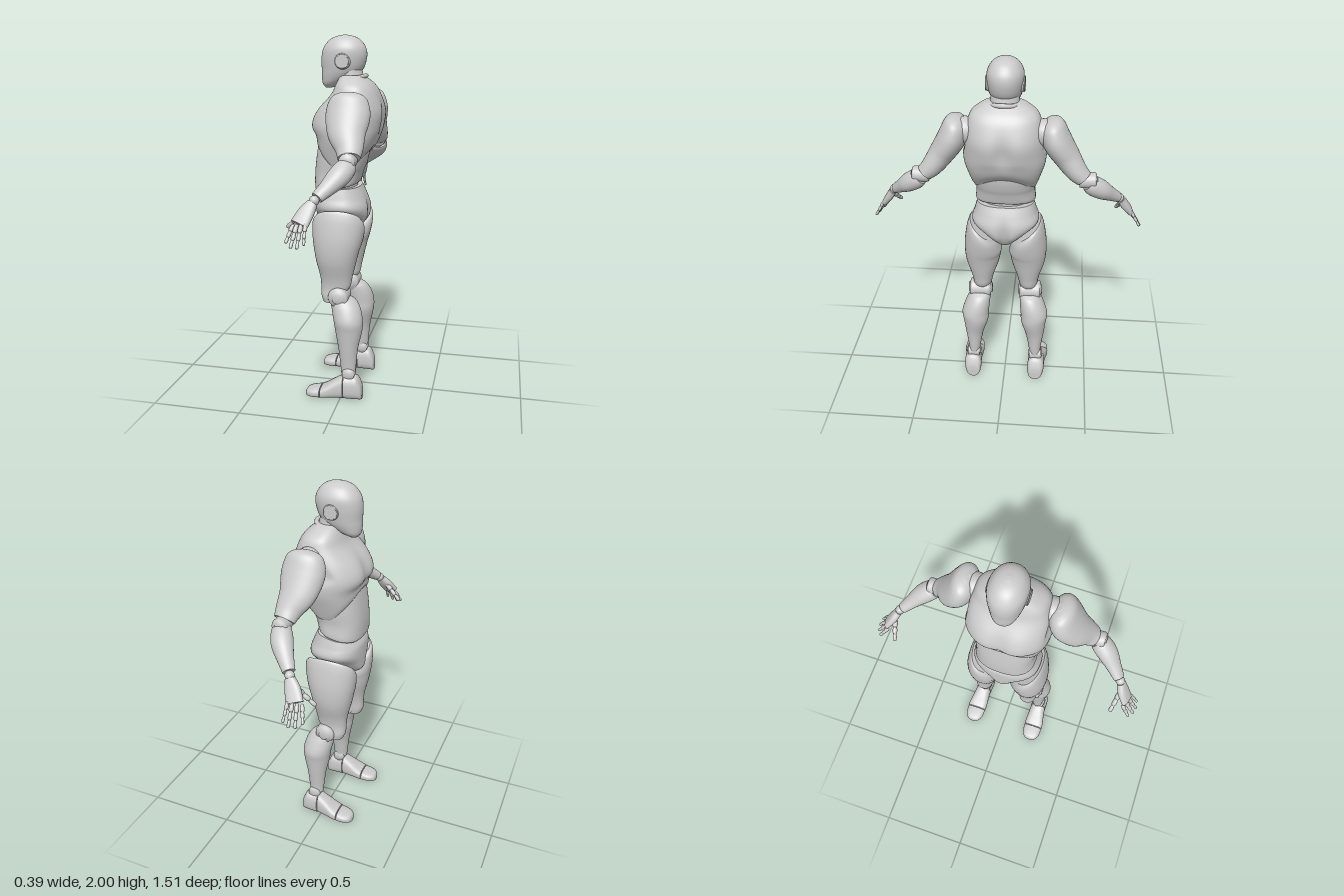
import * as THREE from 'three';

const material = new THREE.MeshStandardMaterial({ color: 0xcccccc, roughness: 0.6 });
const X = new THREE.Vector3(1, 0, 0), Y = new THREE.Vector3(0, 1, 0);
const clamp = THREE.MathUtils.clamp;

// Smooth skin over elliptical sections [x, y, z, a, b], a along ref, b across it.
function loft(name, rows, { axis = null, ref = X, e = 2, n = 40, mod = null } = {}) {
  const curve = (f) => new THREE.CatmullRomCurve3(rows.map(f), false, 'catmullrom', 0.5);
  const path = curve((r) => new THREE.Vector3(r[0], r[1], r[2]));
  const size = curve((r) => new THREE.Vector3(r[3], r[4], 0));
  const steps = (rows.length - 1) * 6, pos = [], idx = [];
  const pow = (v) => Math.sign(v) * Math.abs(v) ** (2 / e);
  for (let i = 0; i <= steps; i++) {
    const c = path.getPoint(i / steps), s = size.getPoint(i / steps);
    const t = axis || path.getTangent(i / steps);
    const u = ref.clone().addScaledVector(t, -ref.dot(t)).normalize();
    const w = new THREE.Vector3().crossVectors(t, u);
    for (let j = 0; j < n; j++) {
      const q = (j / n) * Math.PI * 2;
      const p = c.clone().addScaledVector(u, s.x * pow(Math.cos(q))).addScaledVector(w, s.y * pow(Math.sin(q)));
      if (mod) mod(p);
      pos.push(p.x, p.y, p.z);
      if (i < steps) {
        const a = i * n + j, b = i * n + ((j + 1) % n);
        idx.push(a, b, a + n, b, b + n, a + n);
      }
    }
  }
  // end caps with their own vertices, so the rims stay crisp
  for (const [ring, flip] of [[0, true], [steps, false]]) {
    const base = pos.length / 3, mid = [0, 0, 0];
    for (let j = 0; j < n; j++) for (let k = 0; k < 3; k++) {
      const v = pos[(ring * n + j) * 3 + k];
      pos.push(v);
      mid[k] += v / n;
    }
    pos.push(...mid);
    for (let j = 0; j < n; j++) {
      const a = base + j, b = base + ((j + 1) % n);
      idx.push(...(flip ? [b, a, base + n] : [a, b, base + n]));
    }
  }
  const g = new THREE.BufferGeometry();
  g.setAttribute('position', new THREE.Float32BufferAttribute(pos, 3));
  g.setIndex(idx);
  g.computeVertexNormals();
  return mesh(name, g);
}

function mesh(name, geometry, x = 0, y = 0, z = 0) {
  const m = new THREE.Mesh(geometry, material);
  m.name = name;
  m.position.set(x, y, z);
  return m;
}

// Upright part from horizontal slices [y, x0, x1, z0, z1]; z0 alone means a centred half width.
function column(name, rows, opts = {}) {
  return loft(name, rows.map(([y, x0, x1, z0, z1]) => z1 === undefined
    ? [(x0 + x1) / 2, y, 0, (x1 - x0) / 2, z0]
    : [(x0 + x1) / 2, y, (z0 + z1) / 2, (x1 - x0) / 2, Math.abs(z1 - z0) / 2]), { axis: Y, ...opts });
}

const ball = (name, r, x, y, z) => mesh(name, new THREE.SphereGeometry(r, 24, 16), x, y, z);

// Hinge drum lying along z, with a raised hub on both faces
function hinge(name, r, half, x, y, z) {
  const pts = [[0, -half], [r * 0.5, -half], [r * 0.55, -half * 0.88], [r * 0.9, -half * 0.85], [r, -half * 0.65]];
  const profile = [...pts, ...pts.map(([a, b]) => [a, -b]).reverse()].map(([a, b]) => new THREE.Vector2(a, b));
  const m = mesh(name, new THREE.LatheGeometry(profile, 32), x, y, z);
  m.rotation.x = Math.PI / 2;
  return m;
}

function head() {
  const g = new THREE.Group();
  g.name = 'head';
  g.add(column('skull', [
    [1.725, -0.125, -0.085, 0.025], [1.745, -0.14, -0.04, 0.052], [1.78, -0.145, 0.03, 0.072],
    [1.82, -0.145, 0.078, 0.085], [1.88, -0.146, 0.099, 0.094], [1.93, -0.135, 0.095, 0.092],
    [1.97, -0.105, 0.068, 0.07], [1.99, -0.07, 0.035, 0.042], [1.999, -0.03, -0.005, 0.01],
  ], { e: 2.1 }));
  for (const s of [1, -1]) {
    const ear = mesh('earDisc', new THREE.CylinderGeometry(0.036, 0.046, 0.02, 32), -0.015, 1.865, s * 0.089);
    ear.rotation.x = s * Math.PI / 2;
    const rim = mesh('earRim', new THREE.TorusGeometry(0.036, 0.004, 8, 32), -0.015, 1.865, s * 0.096);
    g.add(ear, rim);
  }
  g.add(column('neck', [[1.68, -0.06, 0.13, 0.095], [1.76, -0.05, 0.09, 0.078], [1.84, -0.055, 0.07, 0.07]]));
  const collar = mesh('neckCollar', new THREE.TorusGeometry(0.077, 0.012, 10, 40), 0.022, 1.765, 0);
  collar.rotation.set(Math.PI / 2, 0.3, 0);
  g.add(collar);
  return g;
}

function torso() {
  const g = new THREE.Group();
  g.name = 'torso';
  // chest: arched lower edge, pectorals, breastbone and spine grooves, flat arm sockets
  g.add(column('chest', [
    [1.3, -0.13, 0.1, 0.165], [1.38, -0.16, 0.148, 0.192], [1.46, -0.165, 0.172, 0.215],
    [1.53, -0.182, 0.186, 0.218], [1.61, -0.152, 0.194, 0.208], [1.69, -0.085, 0.17, 0.19],
    [1.74, -0.06, 0.14, 0.168], [1.775, -0.045, 0.1, 0.12], [1.79, -0.035, 0.08, 0.085],
  ], { e: 2.5, n: 72, mod: (p) => {
    const y = p.y, front = p.x < 0;
    const mid = clamp(1 - (p.z / 0.17) ** 2, 0, 1);
    const height = Math.exp(-(((y - 1.56) / 0.08) ** 2));
    const groove = Math.exp(-((p.z / 0.03) ** 2));
    const lobes = Math.exp(-(((Math.abs(p.z) - 0.09) / 0.05) ** 2));
    if (front) p.x += clamp(-p.x / 0.1, 0, 1) * height * (0.012 * groove - 0.008 * lobes);
    else p.x += clamp(p.x / 0.1, 0, 1) * height * (0.006 * lobes - 0.016 * groove);
    p.y += clamp((1.5 - y) / 0.2, 0, 1) * mid * (front ? 0.12 : 0.07);
    const limit = 0.2 + clamp((1.56 - y) * 0.4, 0, 0.03);
    p.z = clamp(p.z, -limit, limit);
  } }));
  g.add(column('abdomen', [
    [1.17, -0.172, 0.06, 0.158], [1.19, -0.178, 0.068, 0.165], [1.27, -0.178, 0.085, 0.16],
    [1.36, -0.168, 0.11, 0.168], [1.47, -0.15, 0.12, 0.165],
  ], { e: 2.5, n: 56, mod: (p) => { p.y += clamp((1.3 - p.y) / 0.13, 0, 1) * (p.x + 0.17) * 0.18; } }));
  g.add(column('waistCore', [[1.1, -0.12, 0.05, 0.13], [1.3, -0.12, 0.05, 0.13]]));
  // pelvis: tapers to the crotch, with a groove behind
  g.add(column('pelvis', [
    [1.195, -0.15, 0.075, 0.158], [1.14, -0.17, 0.1, 0.172], [1.08, -0.175, 0.12, 0.184],
    [1.02, -0.175, 0.12, 0.122], [0.97, -0.17, 0.088, 0.07], [0.94, -0.14, 0.05, 0.04],
    [0.922, -0.09, 0.0, 0.018],
  ].reverse(), { e: 2.4, n: 56, mod: (p) => {
    const crease = Math.exp(-((p.z / 0.025) ** 2)) * Math.exp(-(((p.y - 1.03) / 0.07) ** 2));
    if (p.x > 0) p.x -= 0.025 * crease * clamp(p.x / 0.08, 0, 1);
    p.y -= clamp((p.y - 1.12) / 0.08, 0, 1) * clamp(-p.x, 0, 0.2) * 0.2;
  } }));
  return g;
}

function arm(s) {
  const g = new THREE.Group();
  g.name = s > 0 ? 'armPlusZ' : 'armMinusZ';
  const limb = (name, rows, opts) => g.add(loft(name, rows.map(([x, y, z, a, b]) => [x, y, z * s, a, b]), opts));
  g.add(ball('shoulderJoint', 0.07, 0.06, 1.64, s * 0.2));
  limb('upperArm', [
    [0.055, 1.712, 0.228, 0.02, 0.012], [0.055, 1.7, 0.233, 0.068, 0.042], [0.055, 1.67, 0.245, 0.1, 0.065],
    [0.056, 1.6, 0.268, 0.115, 0.075], [0.062, 1.52, 0.318, 0.1, 0.068], [0.085, 1.45, 0.37, 0.073, 0.057],
    [0.094, 1.405, 0.415, 0.056, 0.045],
  ]);
  g.add(hinge('elbow', 0.042, 0.05, 0.093, 1.395, s * 0.437));
  limb('forearm', [
    [0.09, 1.38, 0.44, 0.045, 0.042], [0.084, 1.36, 0.465, 0.054, 0.052], [0.06, 1.327, 0.51, 0.056, 0.05],
    [0.02, 1.283, 0.56, 0.043, 0.037], [-0.02, 1.243, 0.605, 0.032, 0.027],
  ]);
  g.add(ball('wrist', 0.025, -0.03, 1.232, s * 0.618));
  limb('palm', [
    [-0.035, 1.222, 0.625, 0.026, 0.02], [-0.06, 1.18, 0.65, 0.04, 0.022], [-0.085, 1.13, 0.685, 0.045, 0.017],
  ], { e: 2.6, n: 28 });
  // each finger: knuckle and tip, in three jointed segments
  const fingers = [
    ['thumb', [-0.075, 1.18, 0.637], [-0.165, 1.095, 0.618], 0.015],
    ['indexFinger', [-0.12, 1.118, 0.675], [-0.143, 1.045, 0.722], 0.0115],
    ['middleFinger', [-0.098, 1.122, 0.686], [-0.113, 1.028, 0.745], 0.012],
    ['ringFinger', [-0.075, 1.125, 0.692], [-0.08, 1.028, 0.752], 0.0115],
    ['littleFinger', [-0.053, 1.13, 0.695], [-0.048, 1.045, 0.745], 0.01],
  ];
  for (const [name, from, to, r] of fingers) {
    const a = new THREE.Vector3(...from), b = new THREE.Vector3(...to);
    const at = (t, k) => [...a.clone().lerp(b, t).toArray(), r * k, r * k];
    for (let i = 0; i < 3; i++) {
      const t0 = i / 3, k = 1 - i * 0.14;
      limb(name, [at(t0 + 0.02, 0.8 * k), at(t0 + 0.15, k), at(t0 + 0.29, 0.9 * k), at(t0 + 0.33, 0.45 * k)], { n: 14 });
      const [x, y, z] = at(t0, 1);
      g.add(ball(name + 'Joint', r * 0.85 * k, x, y, z * s));
    }
  }
  return g;
}

function leg(s) {
  const g = new THREE.Group();
  g.name = s > 0 ? 'legPlusZ' : 'legMinusZ';
  const part = (name, rows, opts) => g.add(column(name, rows.map(([y, a, b, c, d]) => [y, a, b, c * s, d * s]), opts));
  // thigh: top cut slopes down towards the crotch
  part('thigh', [
    [0.555, -0.11, -0.015, 0.095, 0.185], [0.59, -0.122, 0.0, 0.088, 0.19], [0.64, -0.124, 0.038, 0.08, 0.19],
    [0.7, -0.13, 0.052, 0.066, 0.2], [0.8, -0.153, 0.075, 0.035, 0.228], [0.9, -0.168, 0.1, 0.022, 0.235],
    [1.0, -0.174, 0.115, 0.03, 0.222], [1.06, -0.17, 0.114, 0.04, 0.208], [1.085, -0.155, 0.1, 0.055, 0.198],
  ], { e: 2.2, mod: (p) => { p.y -= clamp((p.y - 0.85) / 0.23, 0, 1) * (0.2 - Math.abs(p.z)) * 0.85; } });
  g.add(hinge('knee', 0.056, 0.07, -0.018, 0.592, s * 0.147));
  part('shin', [
    [0.15, 0.0, 0.08, 0.155, 0.22], [0.2, -0.005, 0.085, 0.148, 0.222], [0.3, -0.017, 0.095, 0.13, 0.235],
    [0.4, -0.036, 0.116, 0.1, 0.247], [0.46, -0.045, 0.118, 0.096, 0.254], [0.52, -0.058, 0.105, 0.09, 0.235],
    [0.565, -0.068, 0.08, 0.088, 0.212], [0.585, -0.045, 0.05, 0.1, 0.195],
  ]);
  g.add(hinge('ankle', 0.036, 0.042, 0.045, 0.15, s * 0.19));
  // foot in three pieces, heel to toe
  const foot = (name, rows) => g.add(loft(name, rows.map(([x, h, z, b]) => [x, h / 2, z * s, h / 2, b]), {
    axis: new THREE.Vector3(-1, 0, 0), ref: Y, e: 2.7, mod: (p) => { p.y = Math.max(p.y, 0); } }));
  foot('heel', [[0.122, 0.05, 0.192, 0.025], [0.115, 0.09, 0.192, 0.04], [0.09, 0.135, 0.194, 0.05],
    [0.05, 0.135, 0.196, 0.05], [0.02, 0.138, 0.197, 0.05]]);
  foot('instep', [[0.016, 0.138, 0.197, 0.048], [-0.04, 0.105, 0.2, 0.054], [-0.08, 0.078, 0.203, 0.059], [-0.11, 0.062, 0.204, 0.06]]);
  foot('toe', [[-0.115, 0.06, 0.204, 0.059], [-0.16, 0.052, 0.205, 0.055], [-0.19, 0.042, 0.205, 0.038], [-0.2, 0.026, 0.205, 0.018]]);
  return g;
}

export function createModel() {
  const model = new THREE.Group();
  model.name = 'jointedFigure';
  model.add(head(), torso());
  for (const s of [1, -1]) model.add(arm(s), leg(s));
  return model;
}
